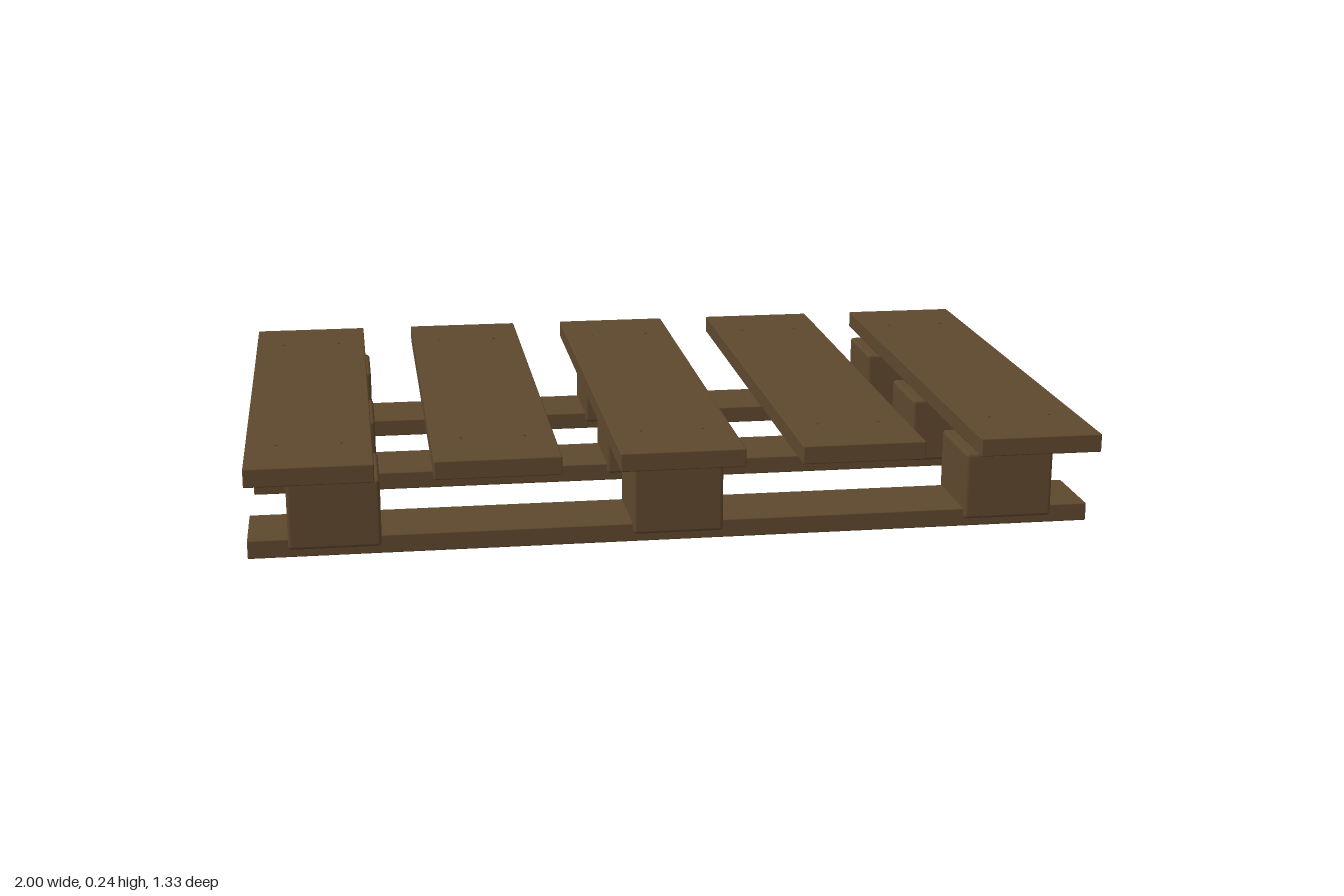
import * as THREE from 'three';
import { RoundedBoxGeometry } from 'three/addons/geometries/RoundedBoxGeometry.js';

export function createModel() {
  const model = new THREE.Group();
  model.name = 'pallet';
  const wood = new THREE.MeshStandardMaterial({ color: 0x5e472d });
  wood.name = 'brown wood';

  const add = (name, geometry, x, y, z) => {
    const mesh = new THREE.Mesh(geometry, wood);
    mesh.name = name;
    mesh.position.set(x, y, z);
    model.add(mesh);
  };

  const rowZ = [-0.485, 0, 0.485];
  const blockX = [-0.8, 0, 0.8];
  const slatX = [-0.852, -0.426, 0, 0.426, 0.852];

  const runner = new RoundedBoxGeometry(2, 0.044, 0.19, 2, 0.003);
  const block = new RoundedBoxGeometry(0.214, 0.164, 0.215, 2, 0.009);
  const slat = new RoundedBoxGeometry(0.292, 0.044, 1.332, 2, 0.003);
  const nail = new THREE.CylinderGeometry(0.004, 0.004, 0.006, 8);

  // Bottom runners, each carrying a row of three spacer blocks
  for (const z of rowZ) {
    add('bottomRunner', runner, 0, 0.022, z);
    for (const x of blockX) add('spacerBlock', block, x, 0.102, z);
  }

  // Deck slats, nailed in pairs near both ends
  for (const x of slatX) {
    add('deckSlat', slat, x, 0.22, 0);
    for (const z of [-0.485, 0.485]) {
      for (const dx of [-0.075, 0.075]) add('nailHead', nail, x + dx, 0.241, z);
    }
  }

  return model;
}
